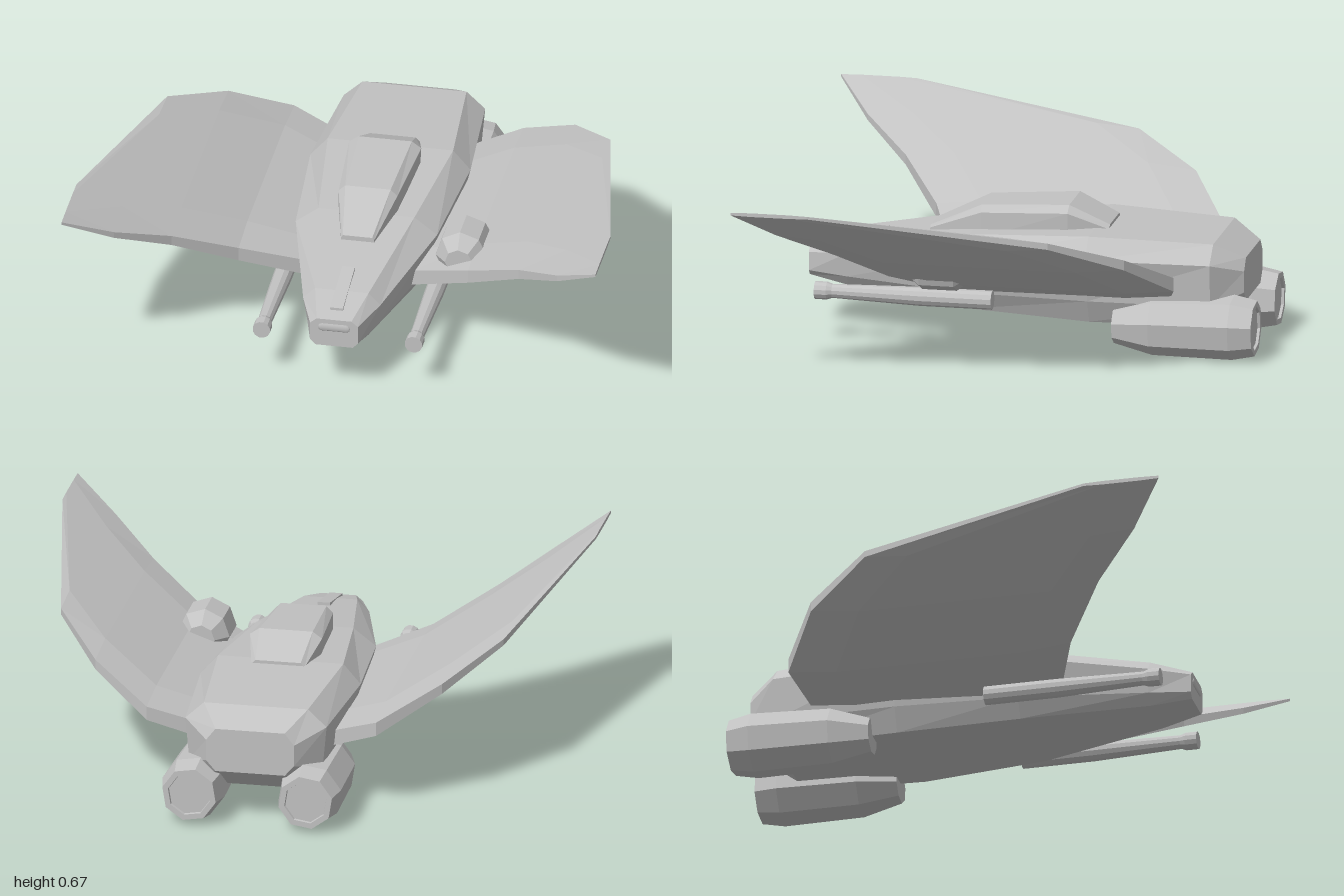
import * as THREE from 'three';

// Faceted skin through equal-length rings of [x, y, z], capped at both ends, facing outward
function loft(rings) {
  const tris = [], n = rings[0].length;
  for (let i = 0; i < rings.length - 1; i++) {
    const a = rings[i], b = rings[i + 1];
    for (let j = 0; j < n; j++) {
      const k = (j + 1) % n;
      tris.push([a[j], a[k], b[k]], [a[j], b[k], b[j]]);
    }
  }
  const first = rings[0], last = rings[rings.length - 1];
  for (let j = 1; j < n - 1; j++) {
    tris.push([first[0], first[j + 1], first[j]], [last[0], last[j], last[j + 1]]);
  }
  let volume = 0;
  for (const [p, q, r] of tris) {
    volume += p[0] * (q[1] * r[2] - q[2] * r[1]) + p[1] * (q[2] * r[0] - q[0] * r[2]) + p[2] * (q[0] * r[1] - q[1] * r[0]);
  }
  if (volume < 0) tris.forEach((t) => t.reverse());
  const g = new THREE.BufferGeometry();
  g.setAttribute('position', new THREE.Float32BufferAttribute(tris.flat(2), 3));
  g.computeVertexNormals();
  return g;
}

// Ring symmetric in x from half points [x, y] listed top to bottom
const symmetric = (z, half) => [
  ...half.map(([x, y]) => [x, y, z]),
  ...half.slice().reverse().map(([x, y]) => [-x, y, z]),
];

// Regular ring with a flat side on top, turned by tilt; r is the distance to the flats
function round(cx, cy, z, r, sides = 8, tilt = 0) {
  const R = r / Math.cos(Math.PI / sides);
  return Array.from({ length: sides }, (_, i) => {
    const a = ((i + 0.5) / sides) * Math.PI * 2 + tilt;
    return [cx + R * Math.cos(a), cy + R * Math.sin(a), z];
  });
}

export function createModel() {
  const model = new THREE.Group();
  const grey = new THREE.MeshStandardMaterial({ color: 0xc2c2c2 });
  grey.name = 'hull grey';
  const add = (name, geometry) => {
    const m = new THREE.Mesh(geometry, grey);
    m.name = name;
    model.add(m);
    return m;
  };

  // Fuselage: top edge, widest edge, lower edge, belly edge
  add('fuselage', loft([
    symmetric(-0.85, [[0.13, 0.365], [0.165, 0.32], [0.165, 0.24], [0.13, 0.2]]),
    symmetric(-0.74, [[0.195, 0.425], [0.265, 0.36], [0.25, 0.2], [0.2, 0.115]]),
    symmetric(-0.28, [[0.235, 0.44], [0.3, 0.365], [0.26, 0.2], [0.22, 0.112]]),
    symmetric(0.18, [[0.18, 0.41], [0.265, 0.345], [0.23, 0.2], [0.19, 0.13]]),
    symmetric(0.65, [[0.1, 0.345], [0.145, 0.3], [0.13, 0.21], [0.1, 0.17]]),
    symmetric(0.8, [[0.065, 0.305], [0.09, 0.285], [0.09, 0.215], [0.07, 0.195]]),
  ]));

  // Canopy with sloped rear and windshield
  add('canopy', loft([
    symmetric(-0.33, [[0.085, 0.45], [0.1, 0.435], [0.1, 0.4]]),
    symmetric(-0.18, [[0.1, 0.52], [0.135, 0.495], [0.13, 0.4]]),
    symmetric(0.15, [[0.085, 0.5], [0.11, 0.475], [0.11, 0.38]]),
    symmetric(0.35, [[0.055, 0.405], [0.062, 0.395], [0.062, 0.34]]),
  ]));

  // Raised strip on the nose
  add('noseStrip', loft([
    symmetric(0.52, [[0.024, 0.374], [0.024, 0.33]]),
    symmetric(0.75, [[0.024, 0.328], [0.024, 0.29]]),
  ]));

  // Thin rounded plate on the nose tip
  const slot = new THREE.CapsuleGeometry(0.015, 0.09, 3, 8);
  slot.rotateZ(Math.PI / 2).scale(1, 1, 0.3);
  add('nosePlate', slot.toNonIndexed()).position.set(0, 0.272, 0.8);

  // Wing stations: x, y, leading z, front crease z, rear crease z, trailing z, half thickness, half edge
  const stations = [
    [0.2, 0.245, 0.335, 0.2, -0.41, -0.58, 0.046, 0.03],
    [0.43, 0.328, 0.43, 0.26, -0.46, -0.64, 0.044, 0.026],
    [0.65, 0.452, 0.59, 0.41, -0.32, -0.5, 0.038, 0.019],
    [0.83, 0.557, 0.77, 0.6, -0.09, -0.25, 0.025, 0.012],
    [1, 0.663, 0.905, 0.83, 0.69, 0.62, 0.007, 0.005],
  ];
  for (const side of [1, -1]) {
    const label = side > 0 ? 'left' : 'right';

    // Curved, forward-swept wing
    add(label + 'Wing', loft(stations.map(([x, y, le, fc, rc, te, t, e]) => [
      [le, e], [fc, t], [rc, t], [te, e], [te, -e], [rc, -t], [fc, -t], [le, -e],
    ].map(([z, dy]) => [side * x, y + dy, z]))));

    // Engine pod and recessed nozzle
    const engineRing = (y, z, r) => round(side * 0.218, y, z, r, 8, side * -0.16);
    add(label + 'Engine', loft([
      engineRing(0.108, -0.375, 0.064),
      engineRing(0.115, -0.52, 0.104),
      engineRing(0.12, -0.82, 0.111),
      engineRing(0.12, -0.905, 0.095),
      engineRing(0.12, -0.905, 0.075),
      engineRing(0.12, -0.895, 0.073),
    ]));

    // Cannon with tapered barrel and flared muzzle
    const cannonRing = (y, z, r) => round(side * 0.285, y, z, r, 12);
    add(label + 'Cannon', loft([
      cannonRing(0.192, 0.07, 0.034),
      cannonRing(0.192, 0.34, 0.034),
      cannonRing(0.195, 0.67, 0.025),
      cannonRing(0.195, 0.69, 0.032),
      cannonRing(0.195, 0.735, 0.032),
    ]));
  }

  // Sensor blister through the left wing only, tilted with it
  const pod = add('sensorPod', loft([
    round(0, 0, -0.12, 0.048),
    round(0, 0, -0.065, 0.09),
    round(0, 0, 0.065, 0.09),
    round(0, 0, 0.12, 0.048),
  ]));
  pod.position.set(0.382, 0.346, 0.247);
  pod.rotation.z = 0.45;

  return model;
}
